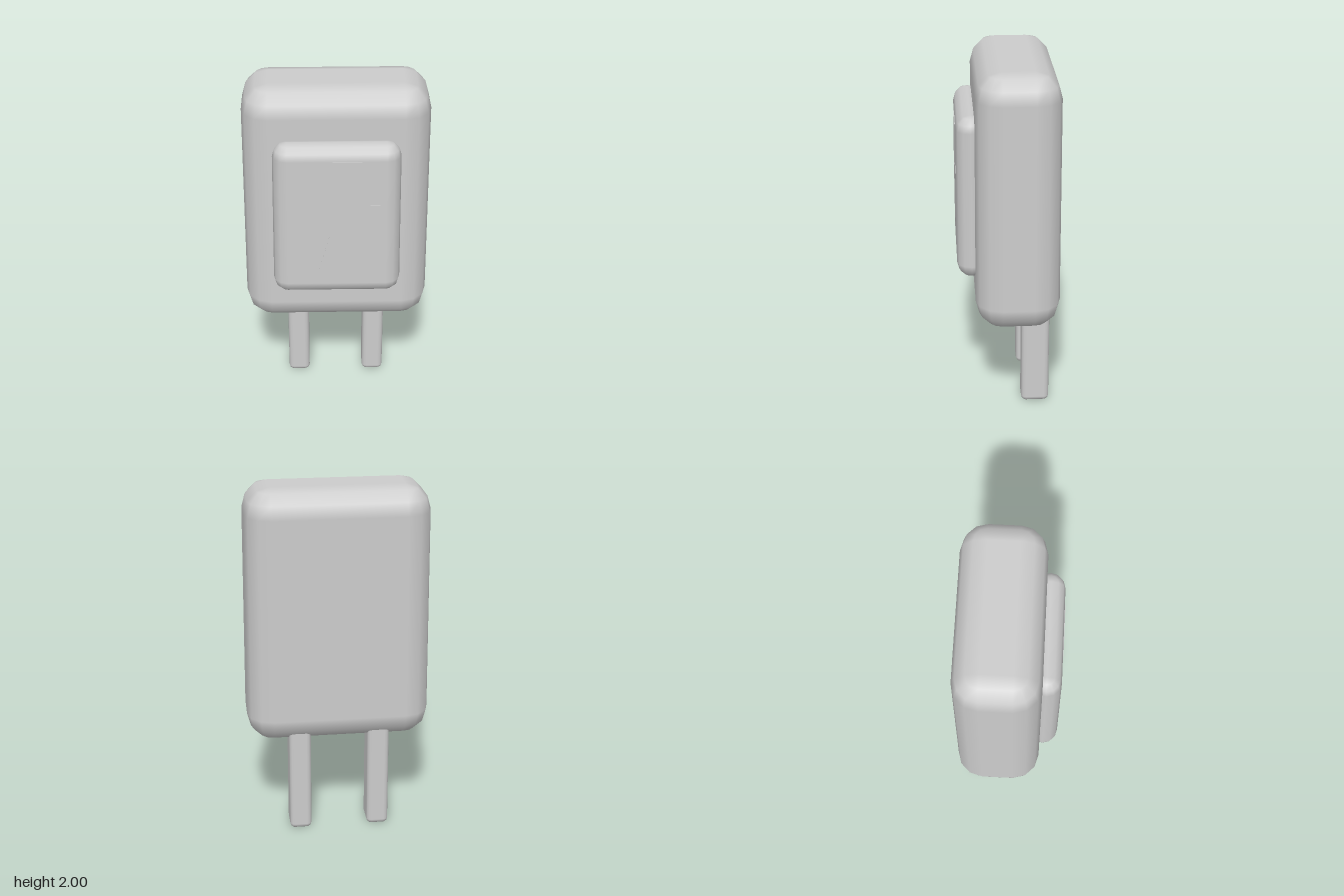
import * as THREE from 'three';

// Rounded block built from stacked rounded-rectangle rings; taper narrows the top.
function roundedBlock(w, h, d, r, taper = 0, seg = 3) {
  const pos = [], nor = [], idx = [];
  const cols = 4 * (seg + 1);
  const ix = w / 2 - r, iy = h / 2 - r, iz = d / 2 - r;
  for (let row = 0; row < 2 * (seg + 1); row++) {
    const top = row > seg;
    const lat = ((top ? row - 1 : row) / seg - 1) * Math.PI / 2;
    for (let c = 0; c < cols; c++) {
      const corner = Math.floor(c / (seg + 1));
      const a = (corner + (c % (seg + 1)) / seg) * Math.PI / 2;
      const sx = corner === 0 || corner === 3 ? 1 : -1;
      const sz = corner < 2 ? 1 : -1;
      const n = [Math.cos(lat) * Math.cos(a), Math.sin(lat), Math.cos(lat) * Math.sin(a)];
      const y = (top ? iy : -iy) + r * n[1];
      const s = 1 - taper * (y / h + 0.5);
      pos.push((sx * ix + r * n[0]) * s, y, (sz * iz + r * n[2]) * s);
      nor.push(...n);
    }
  }
  const rows = 2 * (seg + 1);
  for (let row = 0; row < rows - 1; row++) {
    for (let c = 0; c < cols; c++) {
      const a = row * cols + c, b = row * cols + (c + 1) % cols;
      idx.push(a, a + cols, b, b, a + cols, b + cols);
    }
  }
  // Flat bottom and top caps
  const last = (rows - 1) * cols;
  for (let c = 1; c < cols - 1; c++) {
    idx.push(0, c, c + 1, last, last + c + 1, last + c);
  }
  const g = new THREE.BufferGeometry();
  g.setAttribute('position', new THREE.Float32BufferAttribute(pos, 3));
  g.setAttribute('normal', new THREE.Float32BufferAttribute(nor, 3));
  g.setIndex(idx);
  return g;
}

export function createModel() {
  const group = new THREE.Group();
  const grey = new THREE.MeshStandardMaterial({ color: 0xcccccc });
  grey.name = 'light grey plastic';

  const add = (name, geometry, x, y, z) => {
    const mesh = new THREE.Mesh(geometry, grey);
    mesh.name = name;
    mesh.position.set(x, y, z);
    group.add(mesh);
  };

  // Charger housing and raised front panel
  add('housing', roundedBlock(1.026, 1.44, 0.464, 0.145, 0.024), 0, 1.28, -0.057);
  add('frontPanel', roundedBlock(0.7, 0.92, 0.16, 0.079, 0.03), 0, 1.28, 0.191);

  // Two plug prongs
  for (const side of [-1, 1]) {
    add(side < 0 ? 'rightProng' : 'leftProng',
      roundedBlock(0.124, 0.7, 0.158, 0.028), side * 0.222, 0.35, -0.165);
  }

  // Lightning bolt plate on the panel
  const bolt = new THREE.Shape([
    [-0.06, 1.66], [-0.26, 1.21], [-0.04, 1.21], [-0.1, 0.98],
    [0.23, 1.4], [0.055, 1.4], [0.17, 1.66],
  ].map(([x, y]) => new THREE.Vector2(x, y)));
  add('lightningBolt',
    new THREE.ExtrudeGeometry(bolt, { depth: 0.006, bevelEnabled: false }), 0, 0, 0.266);

  return group;
}
